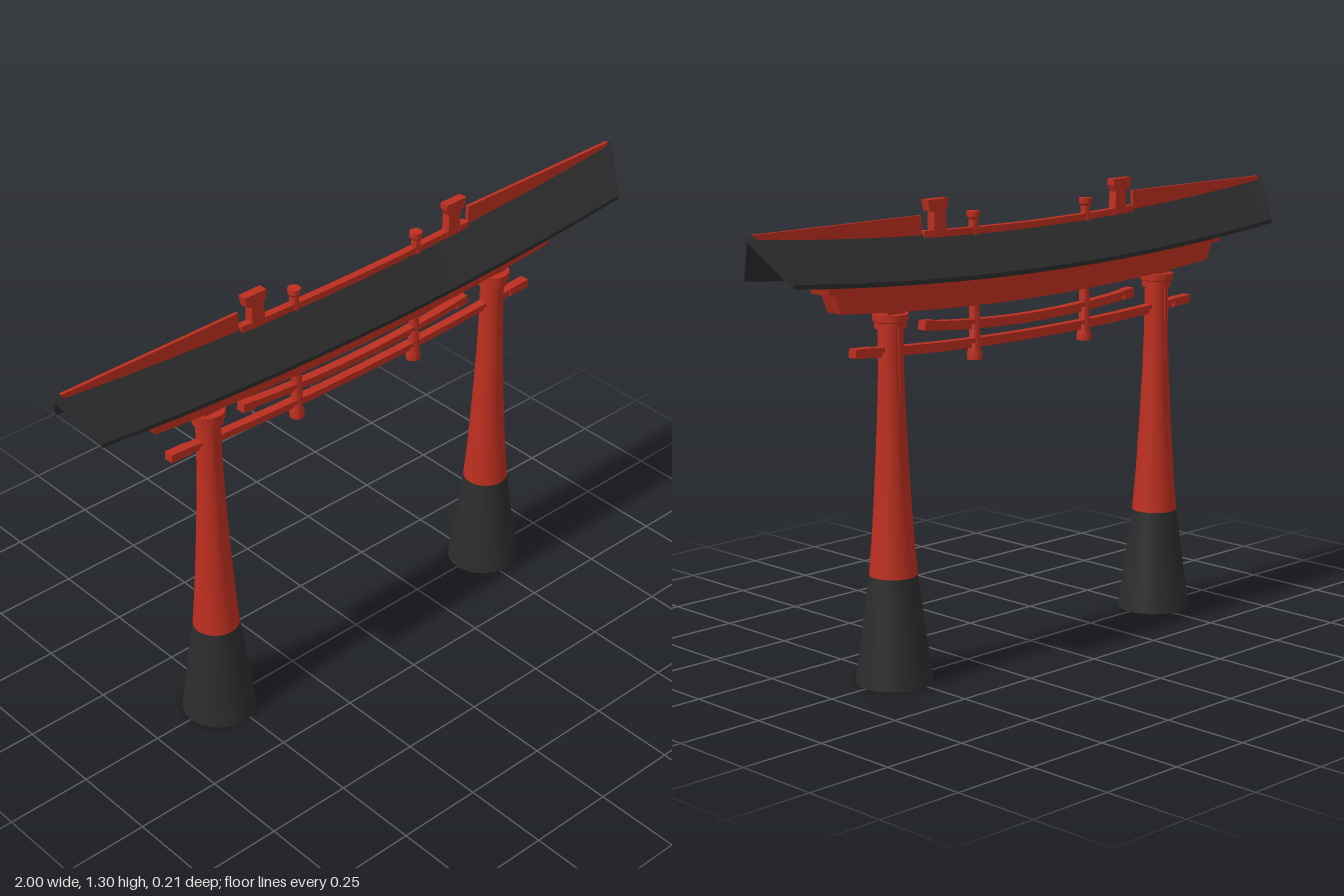
import * as THREE from 'three';
import { toCreasedNormals } from 'three/addons/utils/BufferGeometryUtils.js';

const red = new THREE.MeshStandardMaterial({ color: 0xbc2e1f, side: THREE.DoubleSide });
const black = new THREE.MeshStandardMaterial({ color: 0x2c2c2c, side: THREE.DoubleSide });

export function createModel() {
  const gate = new THREE.Group();
  gate.name = 'gate';

  const add = (name, geometry, material, x = 0, y = 0, z = 0) => {
    const mesh = new THREE.Mesh(geometry, material);
    mesh.name = name;
    mesh.position.set(x, y, z);
    gate.add(mesh);
    return mesh;
  };

  // Sweeps a symmetric [z, y] section along x; the ends curve up by rise * x^2.
  // halfLength(y, z) gives the reach, so that the ends can be cut at a slant.
  const sweep = (section, halfLength, rise) => {
    const shape = new THREE.Shape(section.map(([z, y]) => new THREE.Vector2(z, y)));
    const g = new THREE.ExtrudeGeometry(shape, { depth: 2, steps: 32, bevelEnabled: false });
    const p = g.attributes.position;
    for (let i = 0; i < p.count; i++) {
      const z = -p.getX(i), y = p.getY(i);
      const x = (p.getZ(i) - 1) * halfLength(y, z);
      p.setXYZ(i, x, y + rise * x * x, z);
    }
    return toCreasedNormals(g, 0.4);
  };
  const bar = (w, y0, y1) => [[-w, y0], [w, y0], [w, y1], [-w, y1]];
  const lathe = (points) => toCreasedNormals(
    new THREE.LatheGeometry(points.map(([r, y]) => new THREE.Vector2(r, y)), 32), 0.5);

  // Roof: folded sheet with pointed ends
  add('roof', sweep(
    [[-0.097, 1.083], [0, 1.192], [0.097, 1.083], [0.097, 1.095], [0, 1.205], [-0.097, 1.095]],
    (y, z) => 1 - 0.68 * Math.abs(z), 0.053), black);

  // Lintels under the roof
  add('upperLintel', sweep(
    [[-0.038, 1.055], [0.038, 1.055], [0.038, 1.12], [0, 1.185], [-0.038, 1.12]],
    (y) => 0.762 + 0.6 * Math.min(y - 1.055, 0.05), 0.053), red);
  add('lowerLintel', sweep(bar(0.028, 1.0, 1.065), (y) => 0.718 + 0.45 * (y - 1.0), 0.065), red);

  // Ridge strip between the flat ridge fins
  add('ridgeStrip', sweep(bar(0.011, 1.19, 1.211), () => 0.41, 0.055), red);

  // Curved tie rails with T-shaped sections
  const tee = (y, k) => [[-0.005, y], [0.005, y], [0.005, y + 0.014], [0.013, y + 0.014],
    [0.013, y + k], [-0.013, y + k], [-0.013, y + 0.014], [-0.005, y + 0.014]];
  add('lowerRail', sweep(tee(0.88, 0.027), () => 0.65, 0.06), red);
  add('upperRail', sweep(tee(0.928, 0.027), () => 0.405, 0.14), red);

  for (const s of [-1, 1]) {
    const side = s > 0 ? 'left' : 'right';

    // Flared column, its dark foot and its collar
    add(side + 'Foot', lathe([[0, 0], [0.106, 0], [0.066, 0.3], [0, 0.3]]), black, s * 0.525);
    add(side + 'Column', lathe([[0.066, 0.3], [0.056, 0.42], [0.047, 0.57], [0.039, 0.73],
      [0.035, 0.85], [0.034, 0.98]]), red, s * 0.525);
    add(side + 'Collar', lathe([[0, 0.973], [0.043, 0.973], [0.043, 0.99], [0.048, 0.993],
      [0.048, 1.012], [0, 1.012]]), red, s * 0.525);
    add(side + 'BackStrip', new THREE.BoxGeometry(0.008, 0.23, 0.01), red, s * 0.525, 0.865, -0.033);
    // Block joining the column to the lintel
    add(side + 'ColumnHead', new THREE.BoxGeometry(0.06, 0.04, 0.05), red, s * 0.525, 1.02);

    // Ridge fin with a level top
    const fin = new THREE.Shape([[0.415, 1.195], [0.7, 1.215], [0.97, 1.245], [0.98, 1.262],
      [0.415, 1.262]].map(([x, y]) => new THREE.Vector2(s * x, y)));
    add(side + 'RidgeFin', new THREE.ExtrudeGeometry(fin, { depth: 0.01, bevelEnabled: false }),
      red, 0, 0, -0.005);

    // Hooked ridge ornament
    const hook = new THREE.Shape([[0.33, 1.2], [0.376, 1.2], [0.376, 1.268], [0.392, 1.272],
      [0.398, 1.302], [0.325, 1.302], [0.325, 1.285], [0.335, 1.265]]
      .map(([x, y]) => new THREE.Vector2(s * x, y)));
    add(side + 'RidgeHook', new THREE.ExtrudeGeometry(hook, { depth: 0.026, bevelEnabled: false }),
      red, 0, 0, -0.013);

    // Slim post with a flared head above the ridge and one hanging through the rails
    add(side + 'RidgePost', lathe([[0, 1.19], [0.014, 1.19], [0.013, 1.235], [0.018, 1.242],
      [0.018, 1.257], [0, 1.257]]), red, s * 0.22);
    add(side + 'HangingPost', lathe([[0, 0.85], [0.021, 0.85], [0.021, 0.868], [0.016, 0.885],
      [0.014, 1.02], [0, 1.02]]), red, s * 0.217);

    // Thickened rail ends
    const lowerEnd = add(side + 'LowerRailEnd', new THREE.BoxGeometry(0.07, 0.024, 0.028), red, s * 0.625, 0.919);
    lowerEnd.rotation.z = s * 0.05;
    const upperEnd = add(side + 'UpperRailEnd', new THREE.BoxGeometry(0.04, 0.027, 0.028), red, s * 0.393, 0.965);
    upperEnd.rotation.z = s * 0.1;
  }
  return gate;
}
